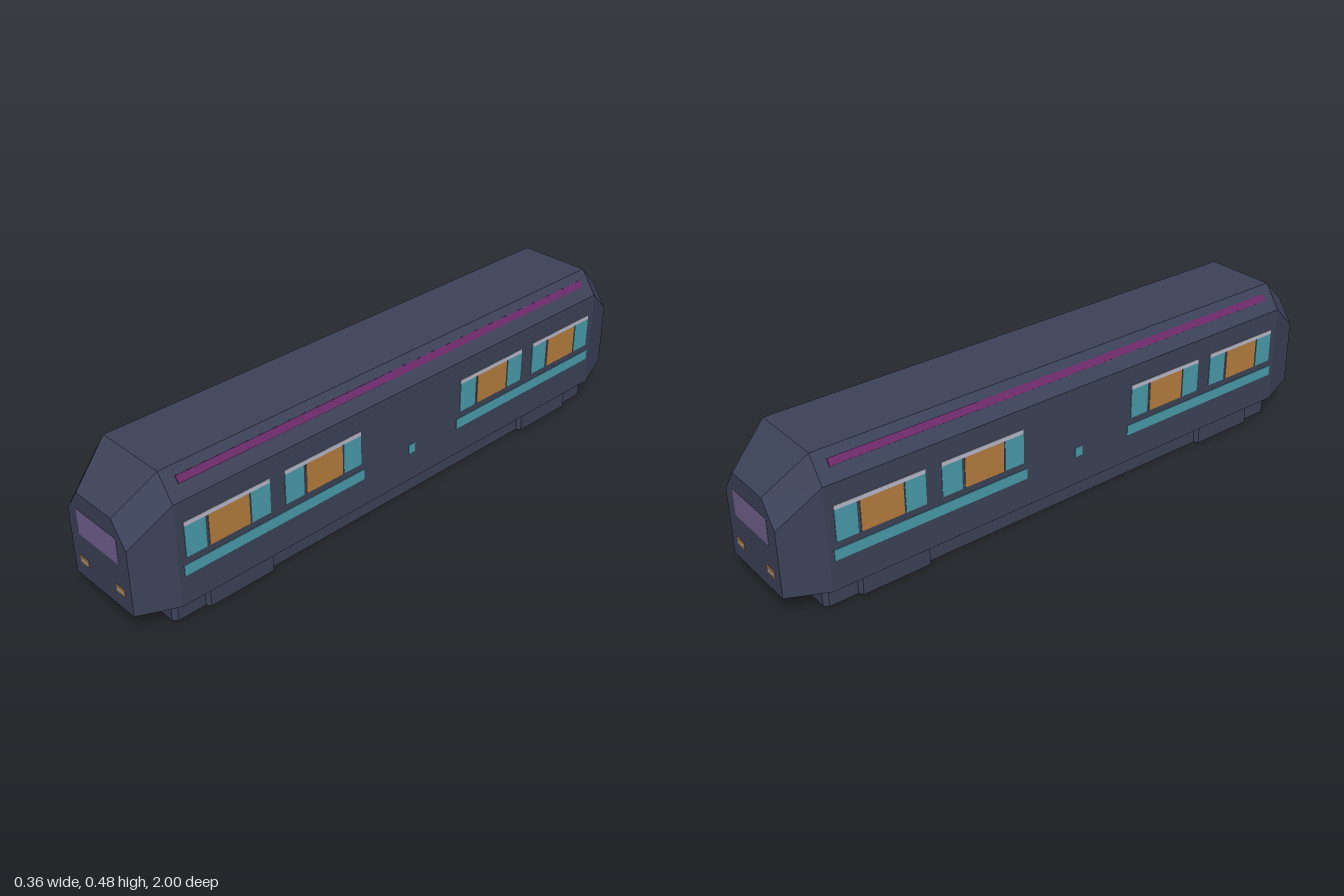
import * as THREE from 'three';

const mat = (name, color) => {
  const m = new THREE.MeshStandardMaterial({ color });
  m.name = name;
  return m;
};

// Closed solid lofted through cross-sections [z, points], flat shaded
function loft(sections) {
  const pos = [];
  const tri = (...v) => v.forEach((p) => pos.push(...p));
  const rings = sections.map(([z, pts]) => pts.map(([x, y]) => [x, y, z]));
  const n = rings[0].length;
  for (let i = 0; i < rings.length - 1; i++) {
    const a = rings[i], b = rings[i + 1];
    for (let k = 0; k < n; k++) {
      const j = (k + 1) % n;
      tri(a[k], a[j], b[j]);
      tri(a[k], b[j], b[k]);
    }
  }
  const first = rings[0], last = rings[rings.length - 1];
  for (let k = 1; k < n - 1; k++) {
    tri(first[0], first[k + 1], first[k]);
    tri(last[0], last[k], last[k + 1]);
  }
  const g = new THREE.BufferGeometry();
  g.setAttribute('position', new THREE.Float32BufferAttribute(pos, 3));
  g.computeVertexNormals();
  return g;
}

// Solid with a plan outline in x and z, standing on y = 0
function planSolid(outline, height) {
  const shape = new THREE.Shape(outline.map(([x, z]) => new THREE.Vector2(x, -z)));
  return new THREE.ExtrudeGeometry(shape, { depth: height, bevelEnabled: false }).rotateX(-Math.PI / 2);
}

export function createModel() {
  const navy = mat('navy body', 0x3c4258);
  const teal = mat('teal', 0x489cab);
  const amber = mat('amber', 0xb47d3d);
  const violet = mat('violet glass', 0x72628f);
  const magenta = mat('magenta', 0x6c2a68);
  const pale = mat('pale grey', 0xb9bacb);

  const model = new THREE.Group();
  model.name = 'railCar';
  const add = (parent, name, geometry, material) => {
    const mesh = new THREE.Mesh(geometry, material);
    mesh.name = name;
    parent.add(mesh);
    return mesh;
  };

  // Body: straight hull with a tapered nose at each end
  const section = (w, bottom, shoulder, t, top) => [
    [-w, bottom], [w, bottom], [w, shoulder], [t, top], [-t, top], [-w, shoulder],
  ];
  const hull = section(0.178, 0.066, 0.4, 0.122, 0.478);
  const nose = section(0.136, 0.08, 0.295, 0.08, 0.372);
  add(model, 'body', loft([[-1, nose], [-0.873, hull], [0.873, hull], [1, nose]]), navy);

  // Underframe with clipped corners
  add(model, 'underframe', planSolid([
    [-0.137, 0.885], [0.137, 0.885], [0.15, 0.872], [0.15, -0.872],
    [0.137, -0.885], [-0.137, -0.885], [-0.15, -0.872], [-0.15, 0.872],
  ], 0.07), navy);

  // Each side and each end repeats after a half turn
  for (const turn of [0, Math.PI]) {
    const side = new THREE.Group();
    side.name = turn ? 'rightSide' : 'leftSide';
    side.rotation.y = turn;
    model.add(side);

    // Thin plate on the side wall
    const plate = (name, z0, z1, y0, y1, material, out = 0.002) => {
      const m = add(side, name, new THREE.BoxGeometry(0.004, y1 - y0, Math.abs(z1 - z0)), material);
      m.position.set(0.178 + out - 0.002, (y0 + y1) / 2, (z0 + z1) / 2);
    };

    // Windows: amber centre pane, two teal panes and a pale top rail
    for (const z of [0.702, 0.358, -0.358, -0.702]) {
      plate('tealPane', z + 0.145, z + 0.076, 0.22, 0.32, teal);
      plate('amberPane', z + 0.066, z - 0.072, 0.22, 0.32, amber);
      plate('tealPane', z - 0.077, z - 0.145, 0.22, 0.32, teal);
      plate('windowRail', z + 0.145, z - 0.145, 0.32, 0.334, pale);
    }

    // Waist stripes and a small marker between them
    plate('waistStripe', 0.857, 0.2, 0.162, 0.197, teal);
    plate('waistStripe', -0.2, -0.857, 0.162, 0.197, teal);
    plate('marker', 0.013, -0.014, 0.164, 0.196, teal);

    // Light strip along the sloping roof edge
    const strip = add(side, 'roofStrip', new THREE.BoxGeometry(0.006, 0.023, 1.666), magenta);
    strip.position.set(0.146, 0.445, 0);
    strip.rotation.z = Math.atan2(0.056, 0.078);

    // Bogie covers with slanted ends
    for (const s of [1, -1]) {
      add(side, 'bogieCover', planSolid([
        [0.148, s * 0.78], [0.164, s * 0.77], [0.164, s * 0.545], [0.148, s * 0.535],
      ], 0.06), navy);
    }

    // End face: windscreen and lamps
    const end = new THREE.Group();
    end.name = turn ? 'backEnd' : 'frontEnd';
    end.rotation.y = turn;
    model.add(end);
    const facePlate = (name, x, y, w, h, material, z) => {
      add(end, name, new THREE.BoxGeometry(w, h, 0.002), material).position.set(x, y, z);
    };
    facePlate('windscreen', 0, 0.272, 0.186, 0.085, violet, 1);
    for (const s of [-1, 1]) {
      facePlate('lamp', s * 0.0855, 0.141, 0.039, 0.023, amber, 1);
      facePlate('lampBar', s * 0.0855, 0.141, 0.039, 0.005, pale, 1.0008);
    }
  }
  return model;
}
